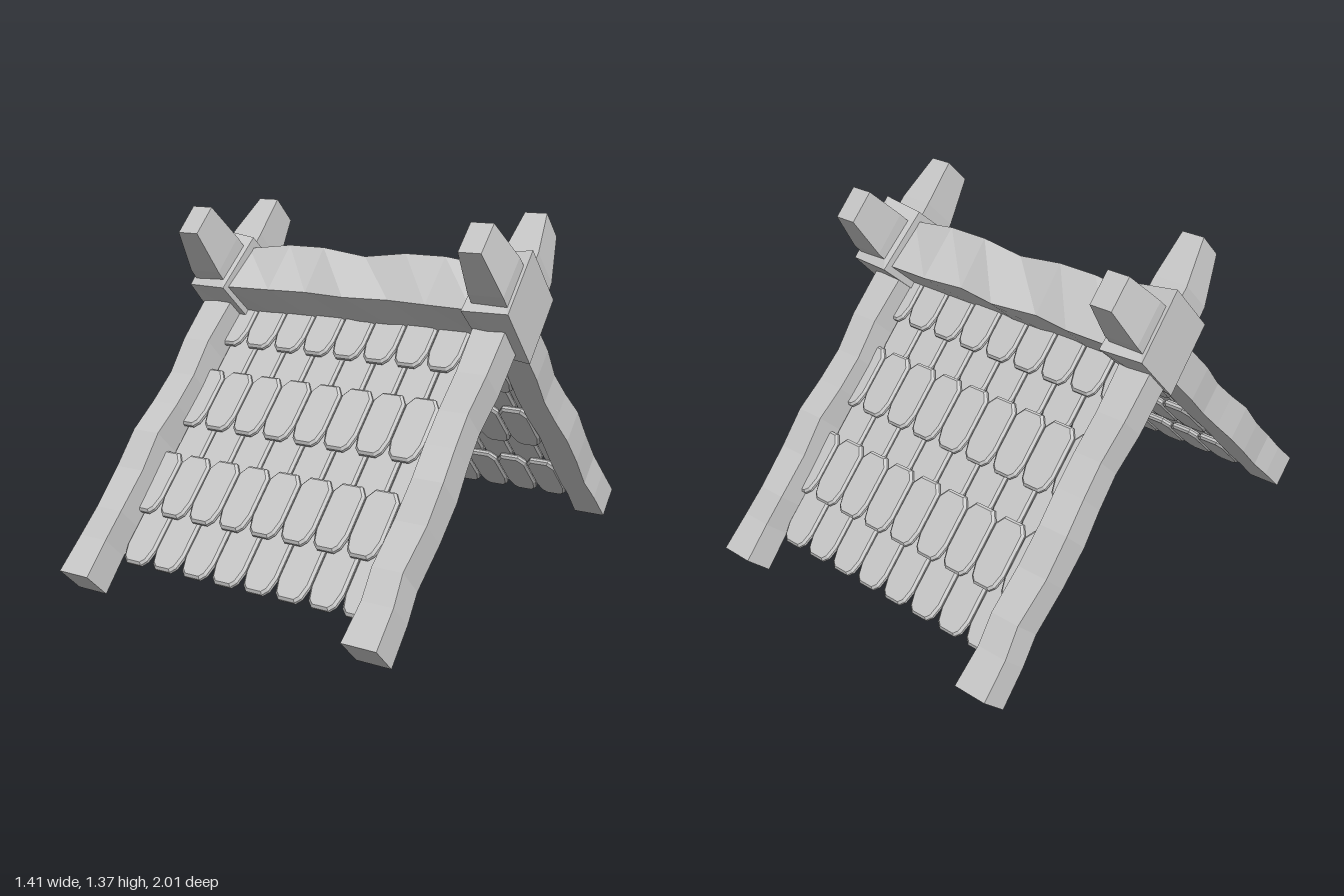
import * as THREE from 'three';

const mat = new THREE.MeshStandardMaterial({ color: 0xcccccc, flatShading: true });
const R2 = Math.SQRT2, AXIS = 1.005; // slope planes meet at this height

// Solid through four-cornered rings, corners counter-clockwise seen from the far end
function loft(name, rings) {
  const pos = [];
  const quad = (a, b, c, d) => [a, b, c, a, c, d].forEach(p => pos.push(...p));
  for (let k = 0; k < rings.length - 1; k++)
    for (let i = 0; i < 4; i++) {
      const j = (i + 1) % 4;
      quad(rings[k][i], rings[k][j], rings[k + 1][j], rings[k + 1][i]);
    }
  const s = rings[0], e = rings[rings.length - 1];
  quad(s[3], s[2], s[1], s[0]);
  quad(e[0], e[1], e[2], e[3]);
  const geo = new THREE.BufferGeometry();
  geo.setAttribute('position', new THREE.Float32BufferAttribute(pos, 3));
  geo.computeVertexNormals();
  const mesh = new THREE.Mesh(geo, mat);
  mesh.name = name;
  return mesh;
}

// Diamond section across x
const diamond = (x, y, up, down, front, back = front) =>
  [[x, y + up, 0], [x, y, front], [x, y - down, 0], [x, y, -back]];

// Shingle: chamfered plate with rounded lower end, origin at the lower edge
function shingleGeometry() {
  const w = 0.058, h = 0.25, b = 0.009;
  const half = [[0.03, 0], [0.046, 0.016], [w, 0.062], [w, h - 0.035], [0.036, h - 0.004]];
  const pts = [...half, ...half.map(([x, y]) => [-x, y]).reverse()];
  const shape = new THREE.Shape(pts.map(([x, y]) => new THREE.Vector2(x, y)));
  const geo = new THREE.ExtrudeGeometry(shape, {
    depth: 0.011, bevelEnabled: true, bevelThickness: b, bevelSize: b, bevelSegments: 1
  });
  geo.translate(0, b, b);
  return geo;
}

// Hewn rail running up the slope
function rail(x, outer) {
  const steps = [ // distance along slope, outer dent, inner dent, top swell
    [-1.355, 0, 0, 0], [-1.2, 0.004, 0.008, -0.004], [-1.08, 0.016, 0, 0.004], [-0.9, 0.003, 0.006, -0.004],
    [-0.74, 0, 0.014, 0.008], [-0.6, 0.012, 0.003, 0], [-0.46, 0.018, 0, -0.004], [-0.3, 0.003, 0.01, 0.003], [-0.04, 0, 0, 0]
  ];
  return loft('rail', steps.map(([t, o, n, s]) => {
    const hi = x + 0.067 - (outer > 0 ? o : n), lo = x - 0.067 + (outer > 0 ? n : o);
    return [[hi, t, 0.067 + s], [hi, t, -0.067], [lo, t, -0.067], [lo, t, 0.067 + s]];
  }));
}

// Horn rising from an end block, at right angles to the slope
function horn(x) {
  const ring = (z, cx, cy, hx, hy) =>
    [[cx + hx, cy + hy, z], [cx - hx, cy + hy, z], [cx - hx, cy - hy, z], [cx + hx, cy - hy, z]];
  return loft('horn', [
    ring(0.08, x, 0.015, 0.07, 0.095),
    ring(0.22, x, 0.018, 0.069, 0.09),
    ring(0.412, x * 0.985, 0.032, 0.045, 0.067)
  ]);
}

// One roof side; m mirrors x so that both sides line up
function roofSide(m, shingle) {
  const side = new THREE.Group();
  side.name = m > 0 ? 'frontSlope' : 'backSlope';
  const tilt = new THREE.Group();
  tilt.position.y = AXIS;
  tilt.rotation.x = -Math.PI / 4;
  side.add(tilt);

  for (const x of [-0.625, 0.595]) tilt.add(rail(m * x, m * Math.sign(x)));
  for (const x of [-0.62, 0.62]) tilt.add(horn(m * x));

  // Lower courses, then raised courses offset by half a shingle
  const courses = [[0.09, 0], [0.375, 0], [0.655, 0], [0.25, 1], [0.525, 1], [0.8, 1]];
  for (const [y, raised] of courses) {
    const s = raised ? 0.945 : 0.905;
    const count = raised ? 9 : 8;
    const row = new THREE.Group();
    row.name = raised ? 'raisedShingles' : 'lowerShingles';
    for (let i = 0; i < count; i++) {
      const tile = new THREE.Mesh(shingle, mat);
      tile.name = 'shingle';
      const x = (i - (count - 1) / 2) * 0.1375 - (raised ? 0.002 : 0.012);
      tile.position.set(m * x, (2 * y - AXIS - s) / R2, (s - AXIS) / R2);
      row.add(tile);
    }
    tilt.add(row);
  }
  if (m < 0) side.rotation.y = Math.PI;
  return side;
}

export function createModel() {
  const model = new THREE.Group();
  model.name = 'gableRoof';
  const shingle = shingleGeometry();
  model.add(roofSide(1, shingle), roofSide(-1, shingle));

  // Wavy ridge beam: x, top height, front and back reach
  const ridge = [
    [-0.55, 0.135, 0.175, 0.165], [-0.35, 0.16, 0.155, 0.165], [-0.19, 0.16, 0.135, 0.14], [0, 0.137, 0.165, 0.17],
    [0.18, 0.16, 0.135, 0.14], [0.35, 0.16, 0.155, 0.165], [0.55, 0.135, 0.175, 0.165]
  ];
  model.add(loft('ridgeBeam', ridge.map(([x, up, f, b]) => diamond(x, 1.05, up, 0.15, f, b))));

  // End blocks, slightly flared
  const outer = x => diamond(x, 1.05, 0.205, 0.21, 0.195);
  const inner = x => diamond(x, 1.05, 0.18, 0.185, 0.208);
  model.add(loft('endBlock', [outer(-0.703), inner(-0.53)]));
  model.add(loft('endBlock', [inner(0.525), outer(0.703)]));
  return model;
}
